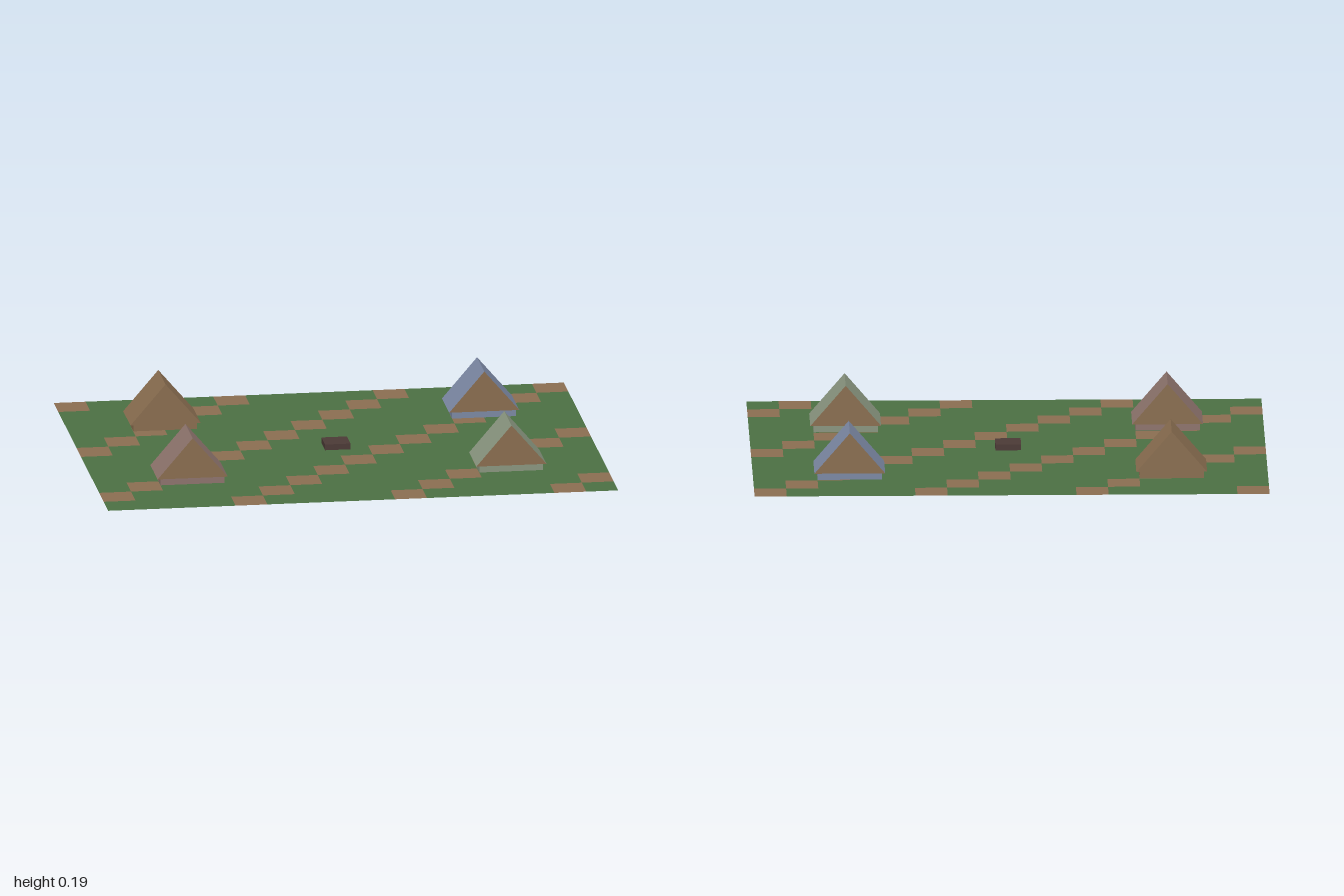
import * as THREE from 'three';

const flat = (name, color) => {
  const m = new THREE.MeshStandardMaterial({ color });
  m.name = name;
  return m;
};

export function createModel() {
  const grass = flat('grass green', 0x4b7043);
  const dirt = flat('dirt brown', 0x8a6e51);
  grass.side = dirt.side = THREE.DoubleSide;
  const canvas = flat('canvas brown', 0x8a6e50);
  const slate = flat('slate blue', 0x7c89a4);
  const rose = flat('dusty rose', 0x8e746d);
  const sage = flat('sage green', 0x8a9680);
  const char = flat('charred wood', 0x4c3a36);

  const model = new THREE.Group();
  model.name = 'campsite';

  const addMesh = (parent, name, geometry, material, y = 0) => {
    const mesh = new THREE.Mesh(geometry, material);
    mesh.name = name;
    mesh.position.y = y;
    parent.add(mesh);
  };

  // Ground: 16 x 12 tiles, diagonal rows of dirt in the grass
  const cols = 16, rows = 12;
  const ground = new THREE.PlaneGeometry(2, 1.5, cols, rows).rotateX(-Math.PI / 2);
  for (let j = 0; j < rows; j++) {
    for (let i = 0; i < cols; i++) {
      ground.addGroup((j * cols + i) * 6, 6, (i + j) % 5 === 0 ? 1 : 0);
    }
  }
  addMesh(model, 'ground', ground, [grass, dirt]);

  // Tents: low base and an overhanging ridge roof with brown end walls
  const baseH = 0.028, apex = 0.189, halfW = 0.1375, depth = 0.2;
  const gable = new THREE.Shape([
    new THREE.Vector2(-halfW, baseH),
    new THREE.Vector2(halfW, baseH),
    new THREE.Vector2(0, apex),
  ]);
  const roofGeo = new THREE.ExtrudeGeometry(gable, { depth, bevelEnabled: false })
    .translate(0, 0, -depth / 2);
  const lift = 0.002; // keeps undersides clear of the ground
  const baseGeo = new THREE.BoxGeometry(0.25, baseH - lift, 0.1875);

  const tents = [
    ['backRightTent', -0.625, -0.406, canvas],
    ['backLeftTent', 0.625, -0.406, slate],
    ['frontRightTent', -0.625, 0.344, rose],
    ['frontLeftTent', 0.625, 0.344, sage],
  ];
  for (const [name, x, z, cloth] of tents) {
    const tent = new THREE.Group();
    tent.name = name;
    tent.position.set(x, 0, z);
    addMesh(tent, 'tentBase', baseGeo, cloth, (baseH + lift) / 2);
    addMesh(tent, 'tentRoof', roofGeo, [canvas, cloth]);
    model.add(tent);
  }

  // Fire pit in the middle
  addMesh(model, 'firePit', new THREE.BoxGeometry(0.1, 0.023, 0.1), char, 0.0135);

  return model;
}
